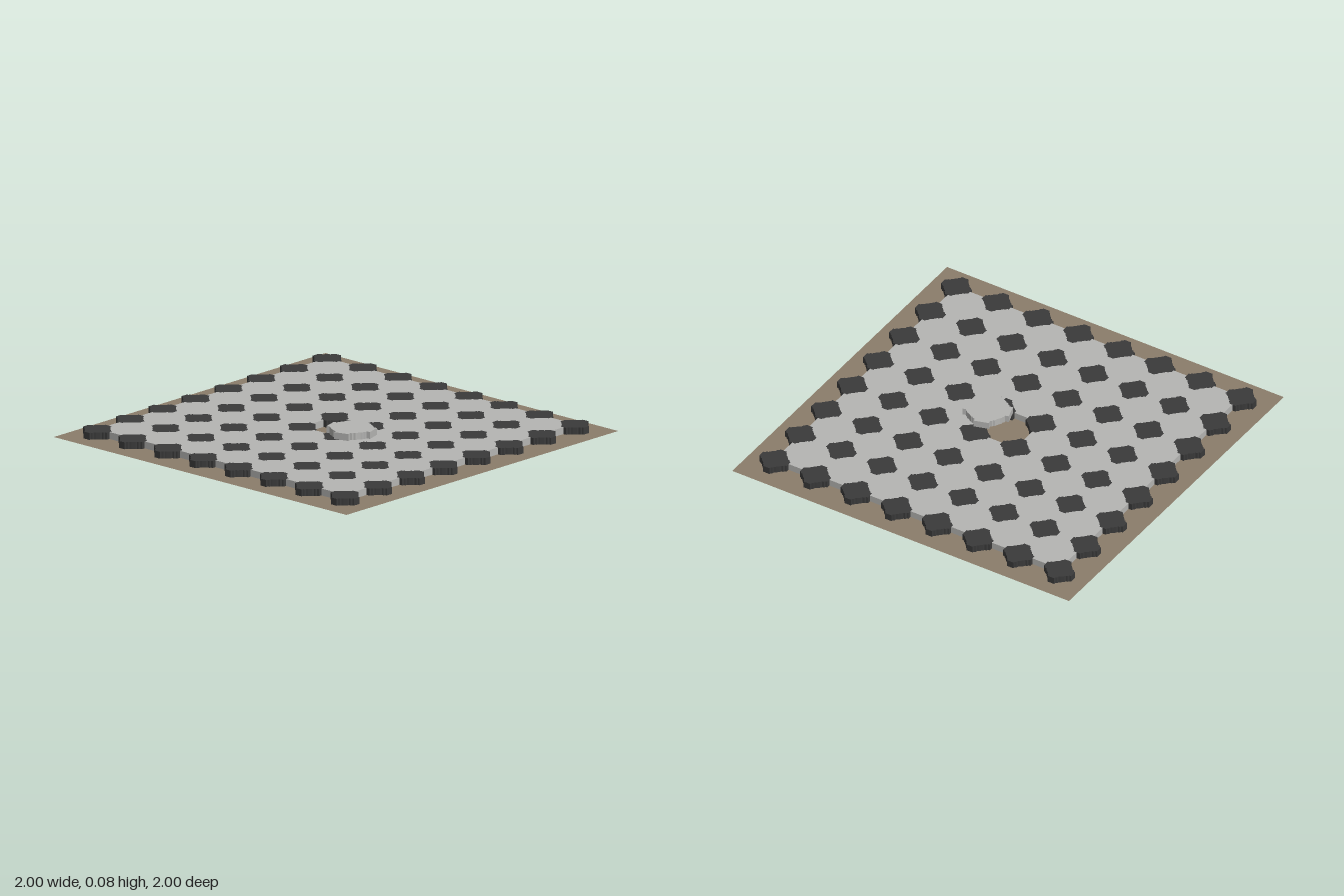
import * as THREE from 'three';

const H = 0.1207;          // half the tile pitch
const BASE = 0.004;        // tile underside
const THICK = 0.036;

// One quarter of the small stone's wavy outline, from its +x tip to its +y tip
const QUARTER = [
  [0.081, 0.019], [0.072, 0.021], [0.067, 0.029], [0.058, 0.031], [0.053, 0.039],
  [0.046, 0.046], [0.039, 0.053], [0.031, 0.058], [0.029, 0.067], [0.021, 0.072], [0.019, 0.081],
];

function turn([x, y], k) {
  for (let i = 0; i < k; i++) [x, y] = [-y, x];
  return new THREE.Vector2(x, y);
}

// Four-fold outline extruded upwards from y = 0
function slab(quarter) {
  const points = [];
  for (let k = 0; k < 4; k++) quarter.forEach((p) => points.push(turn(p, k)));
  const geo = new THREE.ExtrudeGeometry(new THREE.Shape(points), { depth: THICK, bevelEnabled: false });
  return geo.rotateX(-Math.PI / 2);
}

export function createModel() {
  const model = new THREE.Group();
  const ground = new THREE.MeshStandardMaterial({ color: 0x8b7d6b, side: THREE.DoubleSide });
  ground.name = 'sand brown';
  const light = new THREE.MeshStandardMaterial({ color: 0xb5b5b3 });
  light.name = 'light grey stone';
  const dark = new THREE.MeshStandardMaterial({ color: 0x3a3a3a });
  dark.name = 'dark grey stone';

  // Bedding sheet
  const bed = new THREE.Mesh(new THREE.PlaneGeometry(2, 2).rotateX(-Math.PI / 2), ground);
  bed.name = 'bedding';
  model.add(bed);

  // The big tile's corner is cut to fit the small stone's edge
  const bigCorner = [[H, H - 0.081], ...QUARTER.map(([x, y]) => [H - y, H - x]).sort((a, b) => b[0] - a[0]),
    [H - 0.081, H]];
  const bigGeo = slab(bigCorner);
  const smallGeo = slab([[0.081, 0], ...QUARTER]);

  function addStone(parent, geo, material, name, x, y, z) {
    const stone = new THREE.Mesh(geo, material);
    stone.name = name;
    stone.position.set(x, y, z);
    parent.add(stone);
    return stone;
  }

  // 7 x 7 octagonal tiles with the middle one lifted out
  const bigTiles = new THREE.Group();
  bigTiles.name = 'octagonTiles';
  for (let i = -3; i <= 3; i++) {
    for (let j = -3; j <= 3; j++) {
      if (i || j) addStone(bigTiles, bigGeo, light, 'octagonTile', i * 2 * H, BASE, j * 2 * H);
    }
  }

  // 8 x 8 small stones between the octagons
  const smallTiles = new THREE.Group();
  smallTiles.name = 'smallStones';
  for (let i = -3.5; i <= 3.5; i++) {
    for (let j = -3.5; j <= 3.5; j++) {
      addStone(smallTiles, smallGeo, dark, 'smallStone', i * 2 * H, BASE, j * 2 * H);
    }
  }
  model.add(bigTiles, smallTiles);

  // Loose tile lying turned on top of the paving
  const loose = addStone(model, bigGeo, light, 'looseTile', 0.148, BASE + THICK + 0.0005, 0.043);
  loose.rotation.y = 0.3;
  return model;
}
